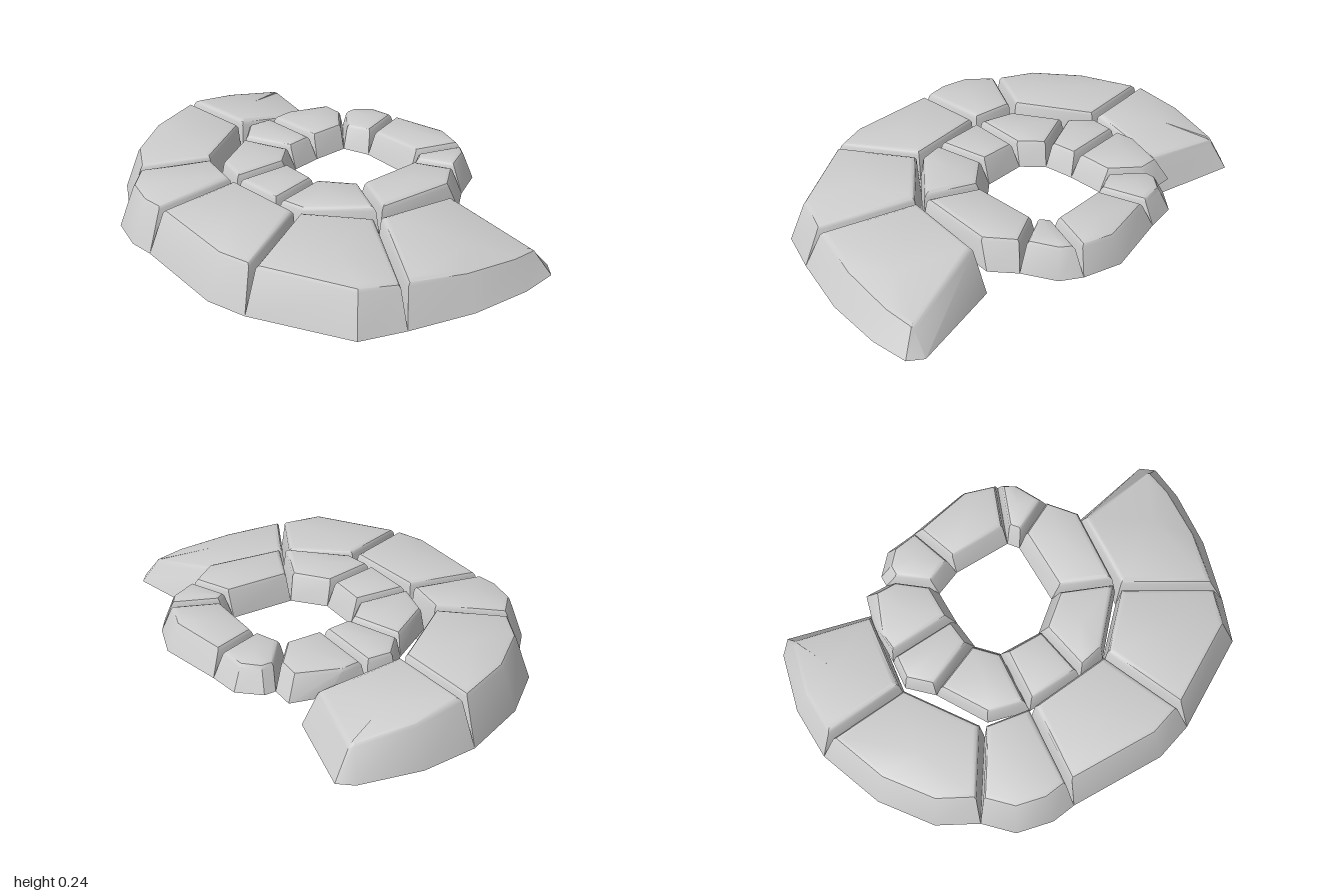
import * as THREE from 'three';
import { toCreasedNormals } from 'three/addons/utils/BufferGeometryUtils.js';

const GROOVE = 0.015; // taper of a wall facing a narrow joint
const WALL = 0.065; // taper of an exposed outer wall

// Each joint: inner end x, z, outer end x, z, then rim points up to the next joint.
// Joints run clockwise as seen from above.
const outerJoints = [
  [.5, -.4, .92, -.5, .98, -.455, .995, -.29, .97, -.03],
  [.46, .03, .89, .25, .82, .44],
  [.24, .26, .43, .67, .26, .725],
  [-.14, .3, -.17, .72, -.28, .735, -.44, .7],
  [-.35, .27, -.55, .59, -.72, .5, -.88, .29],
  [-.56, -.04, -.99, 0, -1, -.24, -.94, -.5],
  [-.51, -.47, -.89, -.56],
];
const innerJoints = [
  [-.1, -.42, -.185, -.68, .1, -.745],
  [.165, -.43, .265, -.695, .35, -.64],
  [.2, -.385, .42, -.5, .5, -.4],
  [.2, -.1, .46, .01, .25, .25],
  [.07, .01, .12, .28],
  [-.12, .01, -.14, .295, -.32, .25],
  [-.2, -.075, -.45, .035, -.55, -.06],
  [-.215, -.21, -.54, -.19, -.54, -.37, -.5, -.52],
  [-.215, -.37, -.4, -.52, -.4, -.57, -.32, -.66],
];

// Large slabs stand on the ground and sink towards the back.
const outerRing = {
  name: 'outer', joints: outerJoints, closed: false, baseY: 0,
  rimTaper: () => WALL,
  holeTaper: GROOVE,
  rimTop: (x, z) => Math.min(0.2, x > 0 ? 0.148 + 0.095 * z : 0.2 + 0.125 * z),
  holeTop: (x, z) => (x > 0 ? 0.22 + 0.05 * z : 0.215 + 0.13 * Math.min(z, 0.1)),
};
// The small ring sits higher, around the opening; only its back is exposed.
const innerTop = (x) => 0.228 + 0.03 * x;
const innerRing = {
  name: 'inner', joints: innerJoints, closed: true, baseY: 0.11,
  rimTaper: (z) => (z < -0.38 ? 0.045 : GROOVE),
  holeTaper: 0.035,
  rimTop: innerTop,
  holeTop: innerTop,
};

// Corners of one stone between two joints, with wall taper and top height.
function stoneCorners(ring, joint, next, startTaper, endTaper) {
  const rim = [];
  for (let i = 2; i < joint.length; i += 2) rim.push([joint[i], joint[i + 1]]);
  rim.push([next[2], next[3]]);
  const hole = (x, z, taper) => ({ x, z, taper, y: ring.holeTop(x, z) });
  return [
    hole(joint[0], joint[1], startTaper),
    ...rim.map(([x, z], i) => ({
      x, z, y: ring.rimTop(x, z),
      taper: i < rim.length - 1 ? ring.rimTaper((z + rim[i + 1][1]) / 2) : endTaper,
    })),
    hole(next[0], next[1], ring.holeTaper),
  ];
}

// Moves each corner inwards by the tapers of its two walls, plus an extra inset.
function inset(corners, extra) {
  const n = corners.length;
  const walls = corners.map((a, i) => {
    const b = corners[(i + 1) % n];
    const dx = b.x - a.x, dz = b.z - a.z, len = Math.hypot(dx, dz);
    return { x: -dz / len, z: dx / len, d: a.taper + extra };
  });
  return corners.map(({ x, z }, i) => {
    const p = walls[(i + n - 1) % n], q = walls[i];
    const det = p.x * q.z - p.z * q.x;
    let vx = (p.x * p.d + q.x * q.d) / 2, vz = (p.z * p.d + q.z * q.d) / 2;
    if (Math.abs(det) > 0.15) {
      vx = (p.d * q.z - q.d * p.z) / det;
      vz = (p.x * q.d - q.x * p.d) / det;
    }
    const k = Math.min(1, (1.5 * Math.max(p.d, q.d)) / Math.hypot(vx, vz));
    return [x + vx * k, z + vz * k];
  });
}

// Hollow stone: tapered walls, a soft bevelled rim and a slightly raised top.
function stoneGeometry(corners, baseY) {
  const n = corners.length;
  const positions = [], index = [];
  corners.forEach(({ x, z }) => positions.push(x, baseY, z));
  for (const [extra, drop] of [[0, 0.018], [0.008, 0.006], [0.024, 0]]) {
    inset(corners, extra).forEach(([x, z], i) => positions.push(x, corners[i].y - drop, z));
  }
  const centre = [0, 0.004, 0];
  for (let i = 9 * n; i < 12 * n; i++) centre[i % 3] += positions[i] / n;
  positions.push(...centre);
  for (let i = 0; i < n; i++) {
    const j = (i + 1) % n;
    for (let a = 0; a < 3 * n; a += n) {
      const b = a + n;
      index.push(a + i, b + i, a + j, a + j, b + i, b + j);
    }
    index.push(4 * n, 3 * n + j, 3 * n + i);
  }
  const geometry = new THREE.BufferGeometry();
  geometry.setAttribute('position', new THREE.Float32BufferAttribute(positions, 3));
  geometry.setIndex(index);
  return toCreasedNormals(geometry, 0.6);
}

function buildRing(ring, material) {
  const group = new THREE.Group();
  group.name = `${ring.name}Ring`;
  const { joints, closed } = ring;
  const count = closed ? joints.length : joints.length - 1;
  for (let i = 0; i < count; i++) {
    const startTaper = !closed && i === 0 ? WALL : GROOVE;
    const endTaper = !closed && i === count - 1 ? WALL : GROOVE;
    const corners = stoneCorners(ring, joints[i], joints[(i + 1) % joints.length], startTaper, endTaper);
    const mesh = new THREE.Mesh(stoneGeometry(corners, ring.baseY), material);
    mesh.name = `${ring.name}Stone${i + 1}`;
    group.add(mesh);
  }
  return group;
}

export function createModel() {
  const model = new THREE.Group();
  model.name = 'stoneRing';
  const stone = new THREE.MeshStandardMaterial({ color: 0xcccccc, side: THREE.DoubleSide });
  stone.name = 'paleGreyStone';
  model.add(buildRing(outerRing, stone), buildRing(innerRing, stone));
  return model;
}
